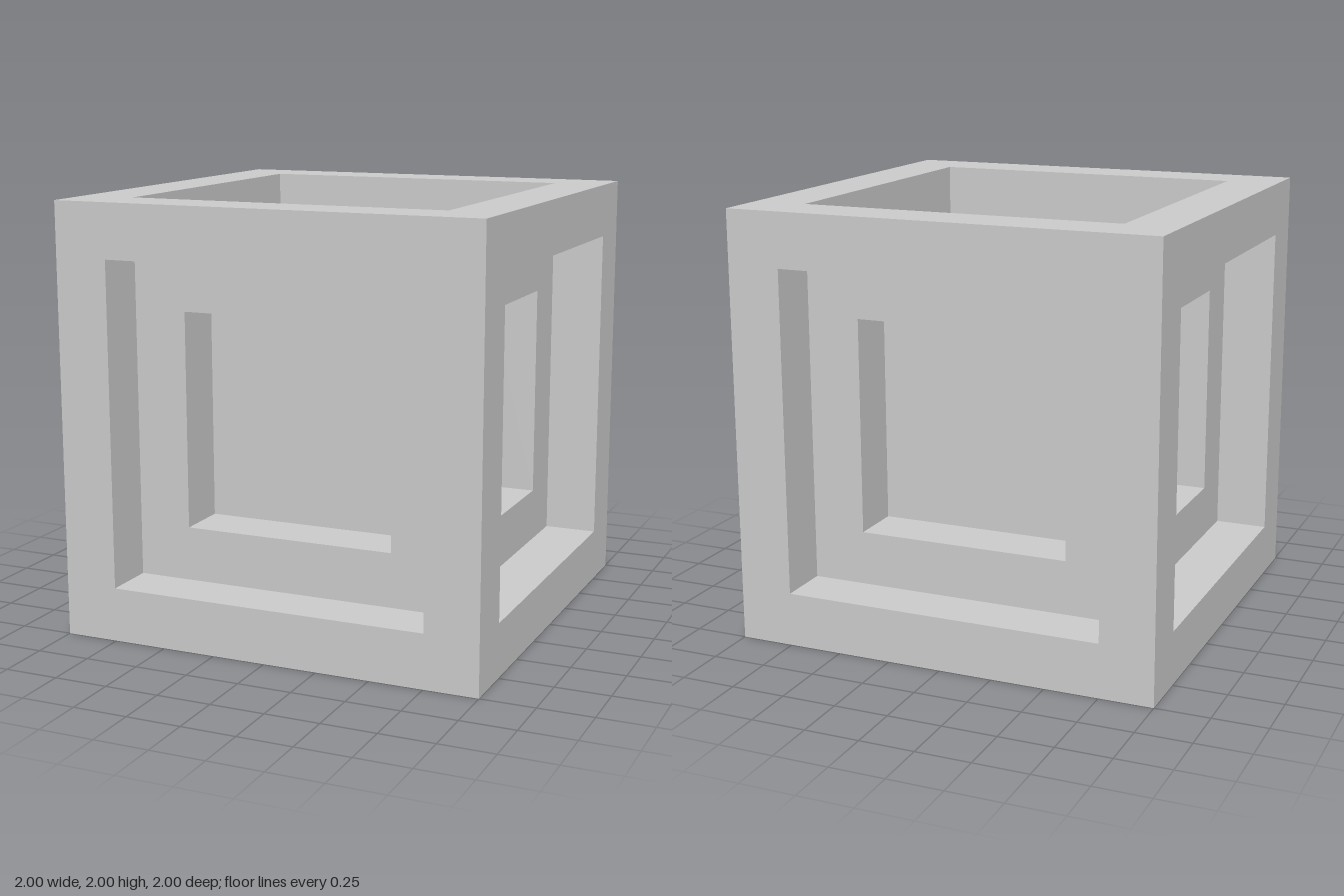
import * as THREE from 'three';
import { mergeGeometries } from 'three/addons/utils/BufferGeometryUtils.js';

const STEP = 0.25; // depth of each recess

function square(h) {
  return [[-h, -h], [h, -h], [h, h], [-h, h]].map(([x, y]) => new THREE.Vector2(x, y));
}

// One cube face looking along +z: nested square recesses, each a step deeper.
// halves lists the half width of the face and then of every recess in it.
function faceGeometry(halves) {
  const parts = [];
  halves.forEach((h, i) => {
    const z = 1 - STEP * i;
    const inner = halves[i + 1];

    // flat border, or the full floor of the deepest recess
    const shape = new THREE.Shape(square(h));
    if (inner) shape.holes.push(new THREE.Path(square(inner).reverse()));
    parts.push(new THREE.ShapeGeometry(shape).translate(0, 0, z));

    // four walls leading down into the next recess
    if (inner) {
      for (let k = 0; k < 4; k++) {
        parts.push(new THREE.PlaneGeometry(2 * inner, STEP)
          .rotateX(-Math.PI / 2)
          .translate(0, -inner, z - STEP / 2)
          .rotateZ(k * Math.PI / 2));
      }
    }
  });
  return mergeGeometries(parts);
}

export function createModel() {
  const group = new THREE.Group();
  group.name = 'recessedCube';
  const material = new THREE.MeshStandardMaterial({ color: 0xcccccc });

  function addFace(name, geometry, rx, ry) {
    const mesh = new THREE.Mesh(geometry, material);
    mesh.name = name;
    mesh.rotation.set(rx, ry, 0);
    mesh.position.y = 1;
    group.add(mesh);
  }

  // sides have two nested recesses
  const side = faceGeometry([1, 0.75, 0.5]);
  ['frontFace', 'leftFace', 'backFace', 'rightFace'].forEach((name, i) => {
    addFace(name, side, 0, i * Math.PI / 2);
  });

  // top has a single recess, the underside is plain
  addFace('topFace', faceGeometry([1, 0.75]), -Math.PI / 2, 0);
  addFace('bottomFace', faceGeometry([1]), Math.PI / 2, 0);

  return group;
}
